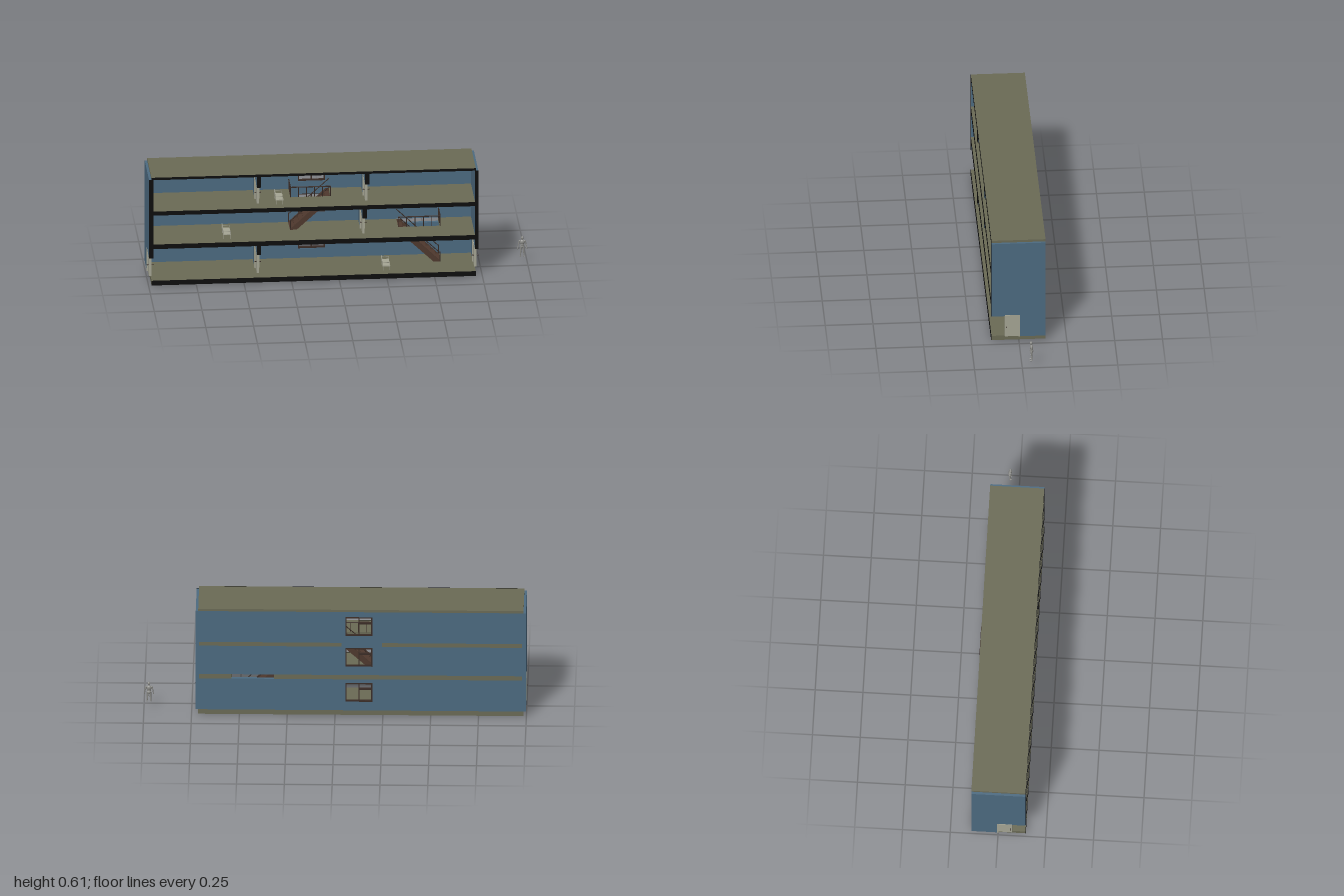
import * as THREE from 'three';

const mat = (color) => new THREE.MeshStandardMaterial({ color, side: THREE.DoubleSide });
const BLUE = mat(0x4c6a80), OLIVE = mat(0x6a6a55), BLACK = mat(0x0c0c0c), BEIGE = mat(0xa5a594);
const WOOD = mat(0x4e382d), DARK = mat(0x3a2c26), SKIN = mat(0x8c8c88);

const ZB = -0.14, ZF = 0.145, CAP = 0.002; // back, front cut plane, cut-face thickness

function add(parent, name, geo, material) {
  const m = new THREE.Mesh(geo, material);
  m.name = name;
  parent.add(m);
  return m;
}

// Box given by its limits
function box(parent, name, material, x0, x1, y0, y1, z0, z1) {
  const m = add(parent, name, new THREE.BoxGeometry(x1 - x0, y1 - y0, z1 - z0), material);
  m.position.set((x0 + x1) / 2, (y0 + y1) / 2, (z0 + z1) / 2);
  return m;
}

// Box that reaches the section plane and gets a black cut face
function cutBox(parent, name, material, x0, x1, y0, y1, z0) {
  box(parent, name, material, x0, x1, y0, y1, z0, ZF - CAP);
  box(parent, name + 'CutFace', BLACK, x0, x1, y0, y1, ZF - CAP, ZF);
}

// Round bar between two points
function bar(parent, name, a, b, r, material, sides = 6) {
  const p = new THREE.Vector3(...a), q = new THREE.Vector3(...b);
  const m = add(parent, name, new THREE.CylinderGeometry(r, r, p.distanceTo(q), sides), material);
  m.position.copy(p).add(q).multiplyScalar(0.5);
  m.quaternion.setFromUnitVectors(new THREE.Vector3(0, 1, 0), q.sub(p).normalize());
  return m;
}

function group(parent, name) {
  const g = new THREE.Group();
  g.name = name;
  parent.add(g);
  return g;
}

// Floor slab, optionally with a stair opening at the back edge
function slab(parent, name, x0, x1, y0, y1, hole) {
  const g = group(parent, name);
  if (!hole) return cutBox(g, 'slab', OLIVE, x0, x1, y0, y1, ZB);
  cutBox(g, 'slabFront', OLIVE, x0, x1, y0, y1, -0.005);
  box(g, 'slabBackRight', OLIVE, x0, hole[0], y0, y1, ZB, -0.005);
  box(g, 'slabBackLeft', OLIVE, hole[1], x1, y0, y1, ZB, -0.005);
}

// Cross wall with a doorway at the section plane and its door
function crossWall(parent, name, x0, x1, y0, head, y1, doorX0, doorX1) {
  const g = group(parent, name);
  box(g, 'wallBack', BLUE, x0, x1, y0, y1, ZB, 0);
  cutBox(g, 'wallAboveDoor', BLUE, x0, x1, head, y1, 0);
  box(g, 'doorJamb', BEIGE, doorX0, doorX1, y0, head + 0.006, -0.004, 0.003);
  box(g, 'doorHead', BEIGE, doorX0, doorX1, head - 0.004, head + 0.006, 0.003, 0.074);
  const mid = (doorX0 + doorX1) / 2;
  box(g, 'doorLeaf', BEIGE, mid - 0.006, mid + 0.006, y0, head - 0.004, 0.003, 0.074);
  bar(g, 'knobSpindle', [doorX0 - 0.002, y0 + 0.06, 0.065], [doorX1 + 0.002, y0 + 0.06, 0.065], 0.0015, DARK);
  for (const x of [doorX0 - 0.002, doorX1 + 0.002]) {
    add(g, 'doorKnob', new THREE.SphereGeometry(0.003, 10, 8), DARK).position.set(x, y0 + 0.06, 0.065);
  }
}

// Rear wall of one storey with a window opening
const WX0 = -0.195, WX1 = -0.055;
function backWall(parent, y0, y1, w0, w1) {
  const rect = (P, a, b, c, d) => {
    const p = new P();
    p.moveTo(a, c); p.lineTo(b, c); p.lineTo(b, d); p.lineTo(a, d); p.closePath();
    return p;
  };
  const s = rect(THREE.Shape, -0.98, 0.715, y0, y1);
  s.holes.push(rect(THREE.Path, WX0, WX1, w0, w1));
  const geo = new THREE.ExtrudeGeometry(s, { depth: 0.018, bevelEnabled: false });
  add(parent, 'backWall', geo, BLUE).position.z = ZB;

  // Unglazed frame with mullion and a transom in one half
  const g = group(parent, 'windowFrame'), t = 0.006, z0 = -0.143, z1 = -0.128, mx = -0.125;
  for (const x of [WX0, mx - t / 2, WX1 - t]) box(g, 'stile', DARK, x, x + t, w0, w1, z0, z1);
  for (const y of [w0, w1 - t]) box(g, 'rail', DARK, WX0, WX1, y, y + t, z0, z1);
  box(g, 'transom', DARK, WX0, mx, w1 - 0.039, w1 - 0.031, z0, z1);
}

// Straight flight with sloping handrail, and a guard rail round its opening
function stairs(parent, name, xBottom, xTop, y0, y1) {
  const g = group(parent, name), d = Math.sign(xTop - xBottom), run = Math.abs(xTop - xBottom);
  const s = new THREE.Shape();
  [[0, y0 - 0.03], [0, y0 + 0.005], [run - 0.018, y1], [run, y1], [run, y1 - 0.025]]
    .forEach(([u, y], i) => (i ? s.lineTo(xBottom + d * u, y) : s.moveTo(xBottom, y)));
  const geo = new THREE.ExtrudeGeometry(s, { depth: 0.007, bevelEnabled: false });
  for (const z of [-0.12, -0.016]) add(g, 'stringer', geo, WOOD).position.z = z;
  const n = 9;
  for (let i = 1; i <= n; i++) {
    const x = xBottom + d * run * (i - 0.5) / n, y = y0 - 0.015 + (y1 - y0 + 0.01) * i / (n + 0.5);
    box(g, 'tread', WOOD, x - 0.014, x + 0.014, y - 0.004, y, -0.113, -0.016);
  }
  for (const z of [-0.116, -0.012]) {
    bar(g, 'newelPost', [xBottom, y0, z], [xBottom, y0 + 0.055, z], 0.003, DARK);
    bar(g, 'handrail', [xBottom, y0 + 0.05, z], [xTop, y1 + 0.055, z], 0.0025, DARK);
  }
  const zr = -0.005, top = y1 + 0.055;
  bar(g, 'guardTopRail', [xBottom, top, zr], [xTop, top, zr], 0.003, DARK);
  bar(g, 'guardEndRail', [xBottom, top, zr], [xBottom, top, -0.12], 0.003, DARK);
  for (let i = 0; i <= 5; i++) {
    const x = xBottom + (xTop - xBottom) * i / 5;
    bar(g, 'guardPost', [x, y1, zr], [x, top, zr], 0.0022, DARK);
  }
  for (let i = 1; i <= 3; i++) {
    const z = zr - 0.038 * i;
    bar(g, 'guardEndPost', [xBottom, y1, z], [xBottom, top, z], 0.0022, DARK);
  }
}

// Bench running front to back
function bench(parent, x, y) {
  const g = group(parent, 'bench');
  box(g, 'seat', BEIGE, x - 0.018, x + 0.02, y + 0.024, y + 0.028, 0, 0.098);
  box(g, 'backrest', BEIGE, x - 0.021, x - 0.018, y + 0.024, y + 0.05, 0, 0.098);
  for (const z of [0.006, 0.092]) {
    for (const u of [-0.017, 0.017]) bar(g, 'leg', [x + u, y, z], [x + u, y + 0.024, z], 0.002, BEIGE);
    bar(g, 'armrest', [x - 0.018, y + 0.043, z], [x + 0.018, y + 0.043, z], 0.0015, BEIGE);
    bar(g, 'armPost', [x + 0.018, y + 0.026, z], [x + 0.018, y + 0.043, z], 0.0015, BEIGE);
  }
}

// Standing scale figure facing the front
function figure(parent, x, y, z) {
  const g = group(parent, 'scaleFigure');
  g.position.set(x, y, z);
  const blob = (name, px, py, pz, sx, sy, sz) => {
    const m = add(g, name, new THREE.SphereGeometry(1, 14, 10), SKIN);
    m.position.set(px, py, pz);
    m.scale.set(sx, sy, sz);
  };
  blob('head', 0, 0.104, 0.002, 0.0065, 0.0095, 0.0075);
  bar(g, 'neck', [0, 0.088, -0.001], [0, 0.098, 0], 0.0035, SKIN, 10);
  blob('chest', 0, 0.08, 0, 0.0135, 0.014, 0.0085);
  blob('waist', 0, 0.066, 0, 0.01, 0.014, 0.007);
  blob('hips', 0, 0.056, -0.001, 0.012, 0.009, 0.0085);
  const limb = (name, a, b, r0, r1) => {
    const m = bar(g, name, a, b, 1, SKIN, 10), len = m.geometry.parameters.height;
    m.geometry = new THREE.CylinderGeometry(r1, r0, len, 10);
  };
  for (const s of [-1, 1]) {
    blob('shoulder', s * 0.014, 0.086, 0, 0.005, 0.005, 0.005);
    limb('upperArm', [s * 0.015, 0.087, 0], [s * 0.02, 0.067, -0.001], 0.004, 0.003);
    limb('forearm', [s * 0.02, 0.067, -0.001], [s * 0.023, 0.05, 0.004], 0.003, 0.002);
    blob('hand', s * 0.0235, 0.046, 0.005, 0.0025, 0.005, 0.003);
    limb('thigh', [s * 0.006, 0.056, 0], [s * 0.008, 0.03, 0], 0.0065, 0.0042);
    limb('shin', [s * 0.008, 0.03, 0], [s * 0.01, 0.003, -0.002], 0.0042, 0.0027);
    blob('foot', s * 0.0105, 0.002, 0.003, 0.0034, 0.0025, 0.008);
  }
}

export function createModel() {
  const model = new THREE.Group();
  model.name = 'sectionedBuilding';

  // Floors and roof
  slab(model, 'groundSlab', -0.985, 0.715, 0.006, 0.032);
  slab(model, 'firstFloorSlab', -0.976, 0.711, 0.21, 0.235, [0.32, 0.54]);
  slab(model, 'secondFloorSlab', -0.976, 0.711, 0.398, 0.42, [-0.245, -0.035]);
  slab(model, 'roofSlab', -0.985, 0.715, 0.597, 0.61);

  // Rear walls, one per storey, and the infill behind the upper stair opening
  backWall(model, 0.032, 0.21, 0.083, 0.19);
  backWall(model, 0.235, 0.398, 0.285, 0.391);
  backWall(model, 0.42, 0.597, 0.461, 0.568);
  box(model, 'backWallInfill', BLUE, -0.245, -0.035, 0.398, 0.42, ZB, -0.122);

  // End walls and partitions
  crossWall(model, 'rightEndWall', -0.998, -0.976, 0.032, 0.157, 0.597, -1.0, -0.974);
  crossWall(model, 'leftEndWall', 0.711, 0.728, 0.032, 0.157, 0.597, 0.706, 0.73);
  crossWall(model, 'groundPartition', -0.433, -0.411, 0.032, 0.16, 0.21, -0.435, -0.409);
  crossWall(model, 'firstFloorPartition', 0.12, 0.143, 0.235, 0.347, 0.398, 0.118, 0.145);
  crossWall(model, 'topLeftPartition', 0.135, 0.157, 0.42, 0.537, 0.597, 0.133, 0.159);
  crossWall(model, 'topRightPartition', -0.433, -0.411, 0.42, 0.537, 0.597, -0.435, -0.409);

  // Stairs
  stairs(model, 'lowerStairs', 0.54, 0.32, 0.03, 0.235);
  stairs(model, 'upperStairs', -0.245, -0.035, 0.235, 0.42);

  // Furniture and figure
  bench(model, 0.25, 0.032);
  bench(model, -0.585, 0.235);
  bench(model, -0.31, 0.42);
  figure(model, 0.974, 0.032, -0.05);
  return model;
}
